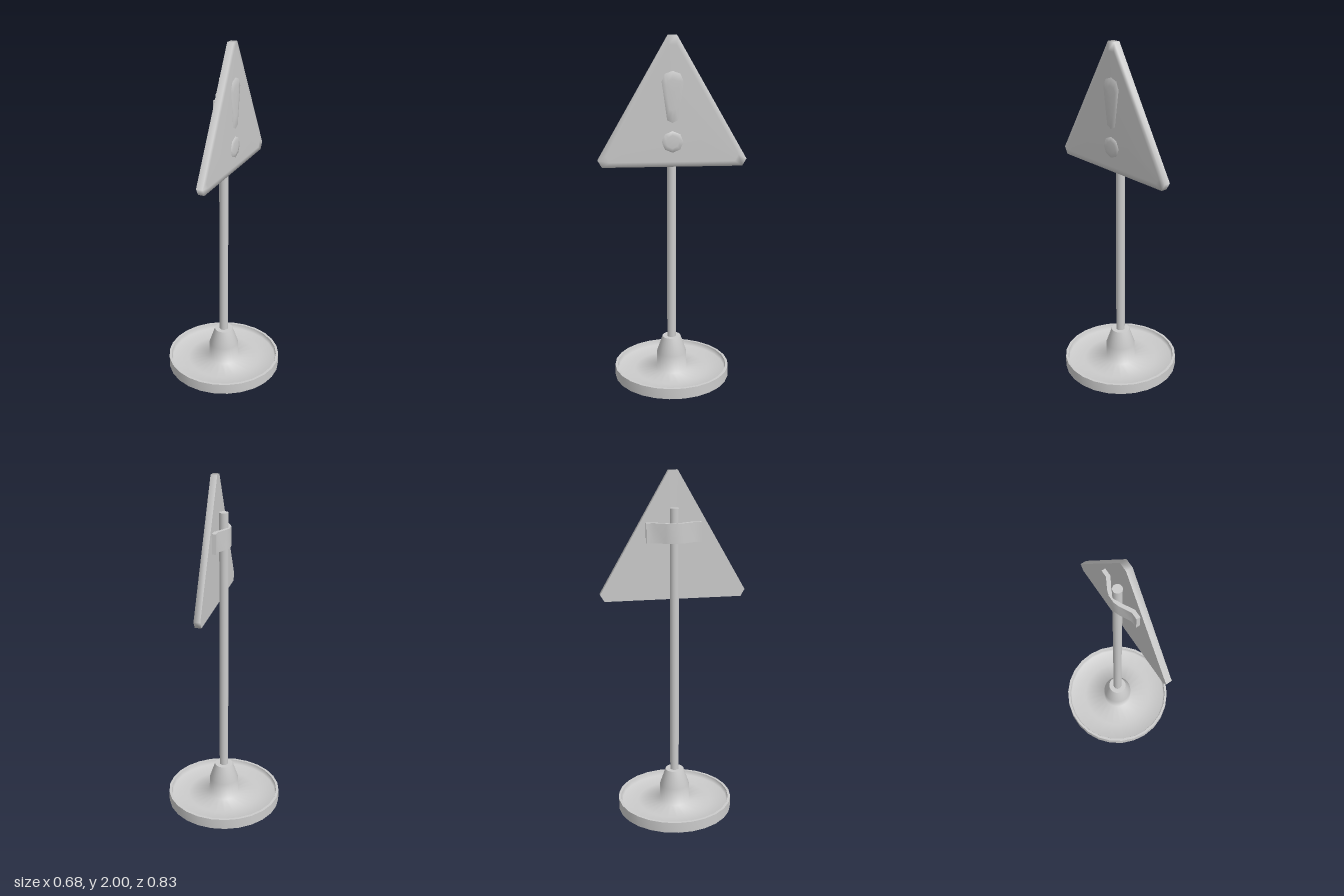
import * as THREE from 'three';
import { toCreasedNormals } from 'three/addons/utils/BufferGeometryUtils.js';

const material = new THREE.MeshStandardMaterial({ color: 0xcccccc });

function add(group, name, geometry) {
  const mesh = new THREE.Mesh(geometry, material);
  mesh.name = name;
  group.add(mesh);
  return mesh;
}

const lathe = (profile, sides) =>
  new THREE.LatheGeometry(profile.map(([r, y]) => new THREE.Vector2(r, y)), sides);

// Solid facing +x: a counter-clockwise outline swept through [scale, depth]
// sections about a centre height, with a smooth front and a flat back.
function plate(outline, centreY, sections) {
  const n = outline.length;
  const positions = [];
  const index = [];
  const ring = ([scale, depth]) => outline.forEach(([u, v]) =>
    positions.push(u * scale, centreY + (v - centreY) * scale, depth));
  sections.forEach(ring);
  const last = (sections.length - 1) * n;
  const front = positions.length / 3;
  positions.push(0, centreY, sections[sections.length - 1][1]);
  const back = front + 1;
  ring(sections[0]);
  const backCentre = back + n;
  positions.push(0, centreY, sections[0][1]);
  for (let i = 0; i < n; i++) {
    const j = (i + 1) % n;
    for (let k = 0; k < last; k += n) {
      index.push(k + i, k + j, k + n + j, k + i, k + n + j, k + n + i);
    }
    index.push(last + i, last + j, front);
    index.push(back + j, back + i, backCentre);
  }
  const geometry = new THREE.BufferGeometry();
  geometry.setAttribute('position', new THREE.Float32BufferAttribute(positions, 3));
  geometry.setIndex(index);
  geometry.computeVertexNormals();
  return geometry.rotateY(Math.PI / 2);
}

export function createModel() {
  const group = new THREE.Group();

  // Round dish: flat underside, outer wall and thin rim
  add(group, 'baseDish', toCreasedNormals(
    lathe([[0, 0], [0.34, 0], [0.34, 0.063], [0.325, 0.063]], 26), 0.7));

  // Recessed floor blending smoothly into the pole socket
  add(group, 'baseFloorAndSocket', lathe([
    [0.325, 0.063], [0.318, 0.034], [0.22, 0.03], [0.09, 0.034],
    [0.088, 0.14], [0.054, 0.24]], 26));
  add(group, 'socketTop', lathe([[0.054, 0.24], [0, 0.24]], 26));

  // Pole
  const pole = add(group, 'pole', new THREE.CylinderGeometry(0.026, 0.026, 1.6, 16));
  pole.position.y = 1.0;

  // Triangular sign with clipped corners and a softened front border
  add(group, 'signPanel', plate([
    [-0.392, 1.285], [0.392, 1.285], [0.415, 1.325],
    [0.025, 2.0], [-0.025, 2.0], [-0.415, 1.325]],
  1.538, [[1, 0.03], [1, 0.066], [0.89, 0.068]]));

  // Raised exclamation mark: tapered stroke and octagonal dot
  const relief = [[1, 0.06], [1, 0.07], [0.6, 0.073]];
  add(group, 'markStroke', plate([
    [0, 1.53], [0.03, 1.545], [0.06, 1.755], [0.042, 1.797],
    [0, 1.812], [-0.042, 1.797], [-0.06, 1.755], [-0.03, 1.545]], 1.7, relief));
  const dot = Array.from({ length: 8 }, (_, i) => {
    const a = i * Math.PI / 4;
    return [0.06 * Math.cos(a), 1.425 + 0.06 * Math.sin(a)];
  });
  add(group, 'markDot', plate(dot, 1.425, relief));

  // Bent strap holding the sign to the pole, mirrored about z = 0
  const outer = [[0.032, 0.155], [0.008, 0.155], [0.008, 0.115], [-0.026, 0.052], [-0.036, 0.022]];
  const inner = [[-0.016, 0.022], [-0.006, 0.045], [0.032, 0.112]];
  const mirror = (points) => points.map(([x, z]) => [x, -z]).reverse();
  const strap = [...outer, ...mirror(outer), ...mirror(inner), ...inner];
  const shape = new THREE.Shape(strap.map(([x, z]) => new THREE.Vector2(x, z)));
  const clamp = new THREE.ExtrudeGeometry(shape, { depth: 0.11, bevelEnabled: false });
  clamp.rotateX(-Math.PI / 2).translate(0, 1.61, 0);
  add(group, 'clampStrap', toCreasedNormals(clamp, 0.8));

  return group;
}
